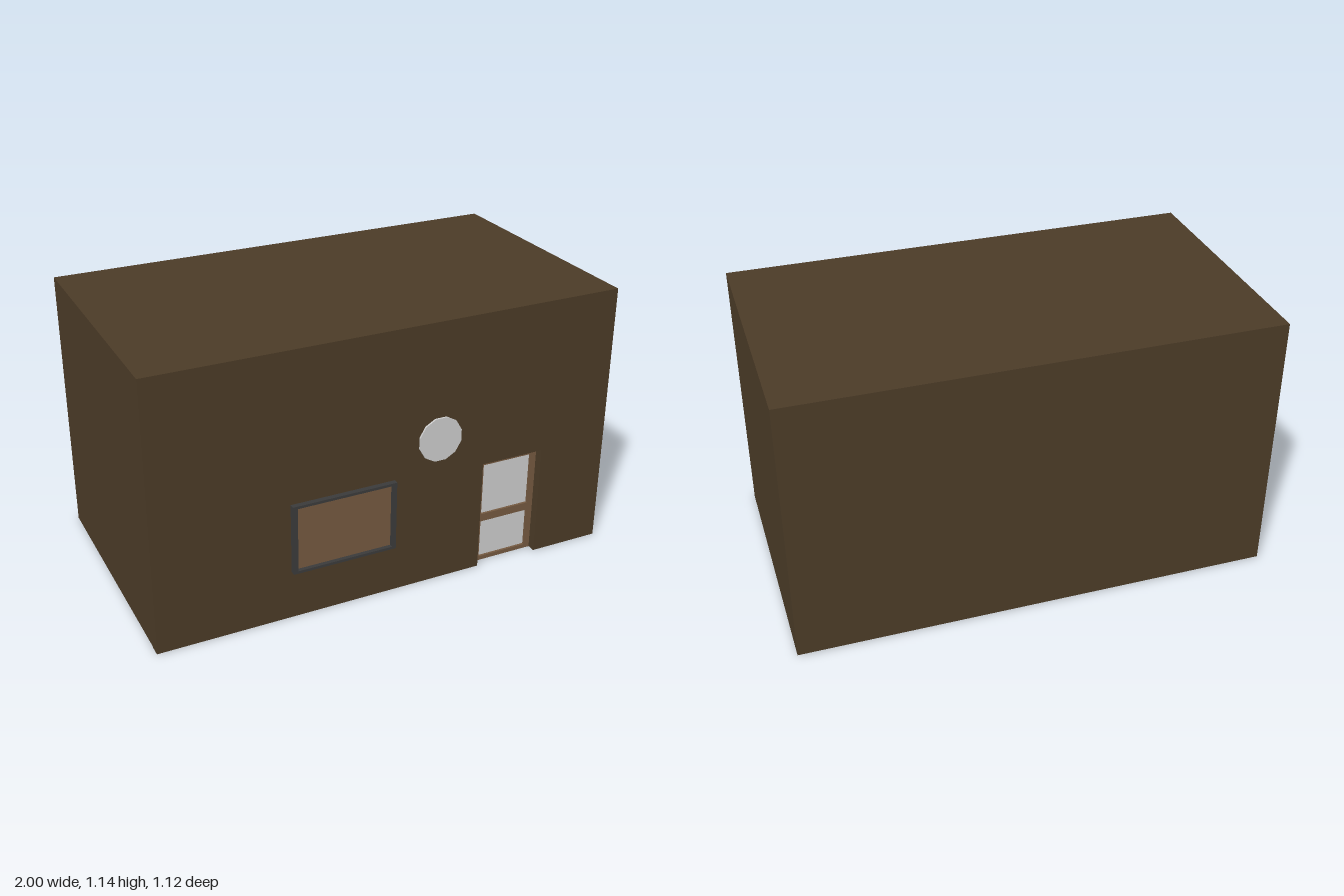
import * as THREE from 'three';

const material = (color) => new THREE.MeshStandardMaterial({ color, flatShading: true });
const wallMat = material(0x4b3b27);
const woodMat = material(0x745940);
const darkMat = material(0x3a3a3a);
const greyMat = material(0xcccccc);

// Box given by its limits on each axis
function box(name, mat, [x0, x1], [y0, y1], [z0, z1]) {
  const mesh = new THREE.Mesh(new THREE.BoxGeometry(x1 - x0, y1 - y0, z1 - z0), mat);
  mesh.position.set((x0 + x1) / 2, (y0 + y1) / 2, (z0 + z1) / 2);
  mesh.name = name;
  return mesh;
}

function rectangle(PathType, x0, x1, y0, y1) {
  return new PathType([[x0, y0], [x1, y0], [x1, y1], [x0, y1]].map((p) => new THREE.Vector2(...p)));
}

// Flat slab with rectangular openings, from z0 to z1
function slab(name, mat, outline, holes, z0, z1) {
  outline.holes = holes.map((h) => rectangle(THREE.Path, ...h));
  const geometry = new THREE.ExtrudeGeometry(outline, { depth: z1 - z0, bevelEnabled: false });
  const mesh = new THREE.Mesh(geometry, mat);
  mesh.position.z = z0;
  mesh.name = name;
  return mesh;
}

export function createModel() {
  const house = new THREE.Group();
  house.name = 'house';

  // Main block behind the front wall
  house.add(box('body', wallMat, [-1, 1], [0.004, 1.145], [-0.56, 0.49]));

  // Front wall with a notch for the recessed door
  const door = { x0: 0.41, x1: 0.69, top: 0.485 };
  const wall = new THREE.Shape([
    [-1, 0], [door.x0, 0], [door.x0, door.top], [door.x1, door.top],
    [door.x1, 0], [1, 0], [1, 1.145], [-1, 1.145],
  ].map((p) => new THREE.Vector2(...p)));
  house.add(slab('frontWall', wallMat, wall, [], 0.49, 0.54));

  // Door leaf with two inset panels
  const panels = [[0.437, 0.663, 0.018, 0.19], [0.437, 0.663, 0.225, 0.457]];
  house.add(slab('door', woodMat, rectangle(THREE.Shape, door.x0, door.x1, 0, door.top), panels, 0.485, 0.505));
  panels.forEach(([x0, x1, y0, y1], i) => {
    house.add(box(i ? 'upperDoorPanel' : 'lowerDoorPanel', greyMat, [x0, x1], [y0, y1], [0.48, 0.495]));
  });

  // Window: raised frame around a flush pane
  house.add(slab('windowFrame', darkMat, rectangle(THREE.Shape, -0.44, 0.005, 0.21, 0.51),
    [[-0.42, -0.012, 0.221, 0.499]], 0.53, 0.562));
  house.add(box('windowPane', woodMat, [-0.42, -0.012], [0.221, 0.499], [0.53, 0.545]));

  // Round disc on the wall
  const disc = new THREE.Mesh(new THREE.CylinderGeometry(0.096, 0.096, 0.03, 12), greyMat);
  disc.geometry.rotateY(Math.PI / 12).rotateX(Math.PI / 2);
  disc.position.set(0.203, 0.648, 0.533);
  disc.name = 'wallDisc';
  house.add(disc);

  return house;
}
